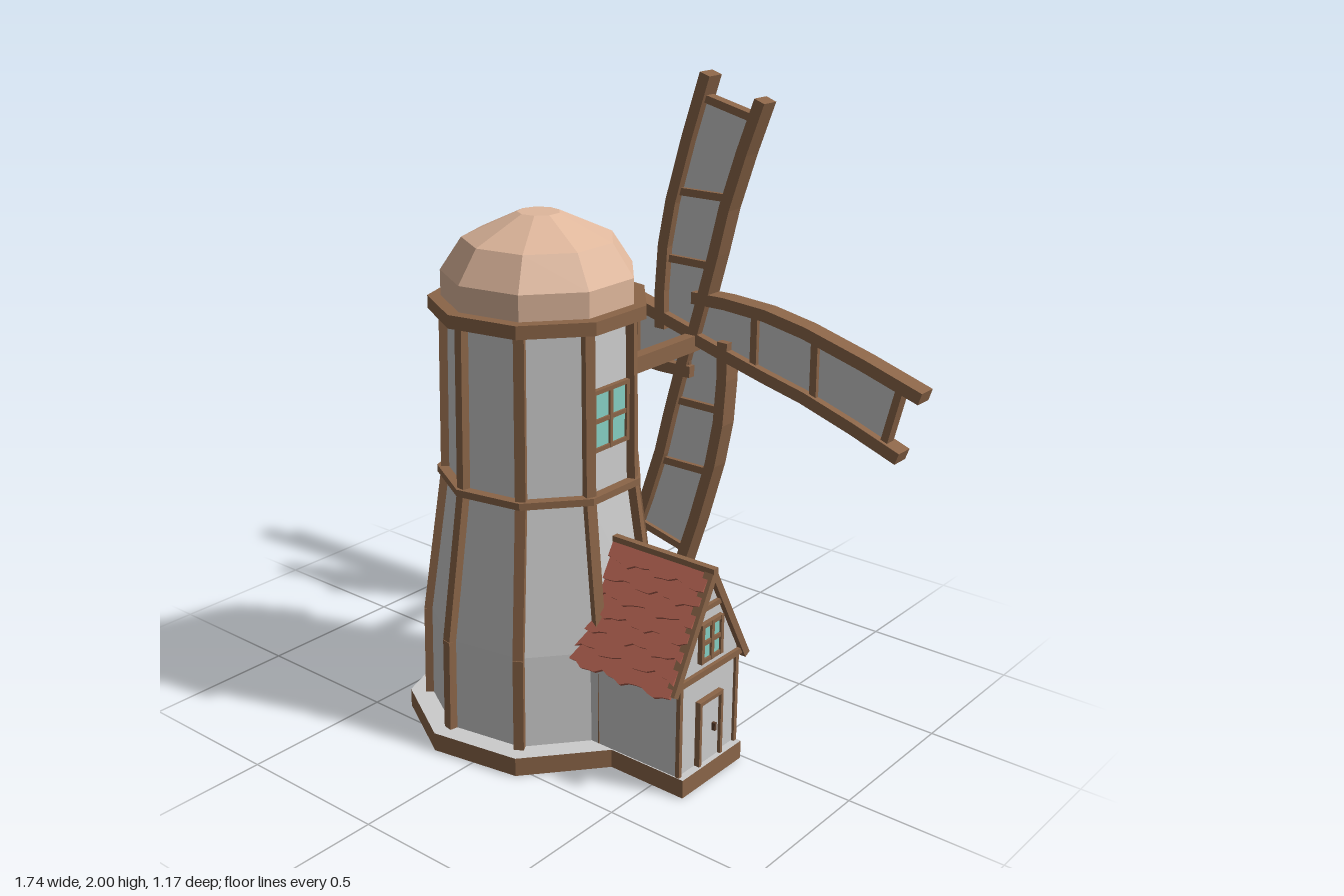
import * as THREE from 'three';

const mat = (color) => new THREE.MeshStandardMaterial({ color, flatShading: true, side: THREE.DoubleSide });
const grey = mat(0xcccccc), wood = mat(0x8b6548), dome = mat(0xdfb79c);
const red = mat(0xb0604f), glass = mat(0x86d0c4), dark = mat(0x5a3d2a);

const CX = -0.065, CZ = 0.16, SIDES = 9, STEP = (Math.PI * 2) / SIDES;
const FIRST = Math.PI / 9; // first corner of the nine-sided tower

function add(parent, name, geometry, material, x = 0, y = 0, z = 0) {
  const m = new THREE.Mesh(geometry, material);
  m.name = name;
  m.position.set(x, y, z);
  parent.add(m);
  return m;
}
const box = (parent, name, w, h, d, x, y, z, m = wood) =>
  add(parent, name, new THREE.BoxGeometry(w, h, d), m, x, y, z);

// Box laid between two points of the local XY plane
function beam(parent, name, a, b, width, depth, z = 0, m = wood) {
  const dx = b[0] - a[0], dy = b[1] - a[1];
  const o = box(parent, name, Math.hypot(dx, dy), width, depth, (a[0] + b[0]) / 2, (a[1] + b[1]) / 2, z, m);
  o.rotation.z = Math.atan2(dy, dx);
  return o;
}
const vec = (pts) => pts.map(([x, y]) => new THREE.Vector2(x, y));
const lathe = (pts) => new THREE.LatheGeometry(vec(pts), SIDES, Math.PI / 2 - FIRST);
const ring = (ri, ro, y0, y1) => lathe([[ri, y0], [ro, y0], [ro, y1], [ri, y1], [ri, y0]]);
const slab = (pts, depth) =>
  new THREE.ExtrudeGeometry(new THREE.Shape(pts), { depth, bevelEnabled: false });

// Framed window with four panes, facing local +z
function makeWindow(w, h) {
  const g = new THREE.Group();
  g.name = 'window';
  box(g, 'windowPanes', w, h, 0.012, 0, 0, 0, glass);
  for (const s of [-1, 0, 1]) {
    box(g, 'windowUpright', 0.013, h + 0.013, 0.028, s * w / 2, 0, 0);
    box(g, 'windowBar', w, 0.013, 0.026, 0, s * h / 2, 0);
  }
  g.rotation.y = Math.PI / 2;
  return g;
}

// Plinth: nine-sided slab joined to the annex floor
function makePlinth() {
  const pts = [];
  for (let i = 0; i < SIDES; i++) {
    const a = FIRST + i * STEP;
    pts.push(new THREE.Vector2(CX + 0.435 * Math.cos(a), -CZ + 0.435 * Math.sin(a)));
  }
  pts.push(new THREE.Vector2(0.615, -CZ - 0.149), new THREE.Vector2(0.615, -CZ + 0.149));
  const m = new THREE.Mesh(slab(pts, 0.06), [grey, wood]);
  m.name = 'plinth';
  m.rotation.x = -Math.PI / 2;
  return m;
}

function makeTower() {
  const g = new THREE.Group();
  g.name = 'tower';
  g.position.set(CX, 0, CZ);
  const profile = [[0.365, 0.05], [0.36, 0.36], [0.292, 0.84], [0.284, 1.37]];
  add(g, 'towerWall', lathe(profile), grey);
  // corner posts follow the wall profile
  for (let i = 0; i < SIDES; i++) {
    const post = new THREE.Group();
    post.name = 'cornerPost';
    post.rotation.y = FIRST + i * STEP;
    for (let j = 0; j < 3; j++) {
      const a = [profile[j][0] + 0.005, profile[j][1]], b = [profile[j + 1][0] + 0.005, profile[j + 1][1]];
      beam(post, 'postSection', a, b, 0.03, 0.032);
    }
    g.add(post);
  }
  add(g, 'middleBand', ring(0.27, 0.325, 0.828, 0.85), wood);
  add(g, 'topBand', ring(0.25, 0.338, 1.355, 1.396), wood);
  add(g, 'domeRoof', lathe([[0, 1.39], [0.298, 1.39], [0.298, 1.475], [0.232, 1.575], [0.065, 1.652], [0, 1.652]]), dome);
  const win = makeWindow(0.155, 0.18);
  win.position.set(0.272, 1.075, 0.005);
  g.add(win);
  return g;
}

// One roof slope made of overlapping courses with wavy lower edges
function makeSlope() {
  const slope = new THREE.Group();
  slope.name = 'roofSlope';
  const L = 0.385, rows = 7, step = L / rows, half = 0.19, n = 15;
  for (let j = 0; j < rows; j++) {
    const pts = [new THREE.Vector2(half, 0), new THREE.Vector2(-half, 0)];
    for (let i = 0; i <= n; i++) {
      const wave = 0.008 * Math.sin(i * 1.25 + j * 2.3) + 0.004 * Math.sin(i * 2.9 + j);
      pts.push(new THREE.Vector2(-half + (2 * half * i) / n, -step * 1.25 + wave));
    }
    const row = add(slope, 'tileCourse', slab(pts, 0.013), red, 0, -j * step, -0.012);
    row.rotation.x = -0.2;
  }
  slope.rotation.x = -Math.atan2(0.19, 0.35);
  slope.position.y = 0.685;
  return slope;
}

function makeAnnex() {
  const g = new THREE.Group();
  g.name = 'annex';
  g.position.set(0, 0, CZ);
  const wall = slab(vec([[-0.145, 0.05], [0.145, 0.05], [0.145, 0.388], [0, 0.655], [-0.145, 0.388]]), 0.49);
  add(g, 'annexWall', wall, grey, 0.1).rotation.y = Math.PI / 2;
  for (const turn of [0, Math.PI]) {
    const side = new THREE.Group();
    side.name = 'roofSide';
    side.position.x = 0.405;
    side.rotation.y = turn;
    side.add(makeSlope());
    g.add(side);
  }
  box(g, 'ridgeBeam', 0.38, 0.018, 0.022, 0.42, 0.686, 0);
  // timber of the gable end, drawn in a plane turned to face +x
  const gable = new THREE.Group();
  gable.name = 'gableFrame';
  gable.position.x = 0.592;
  gable.rotation.y = Math.PI / 2;
  for (const s of [-1, 1]) {
    beam(gable, 'bargeBoard', [0, 0.675], [s * 0.18, 0.345], 0.024, 0.032);
    beam(gable, 'annexCornerPost', [s * 0.14, 0.06], [s * 0.14, 0.37], 0.014, 0.014);
    box(gable, 'doorJamb', 0.011, 0.21, 0.025, s * 0.053, 0.165, 0.004);
  }
  beam(gable, 'gableTieBeam', [-0.16, 0.365], [0.16, 0.365], 0.02, 0.02);
  beam(gable, 'gableCollar', [-0.045, 0.575], [0.045, 0.575], 0.016, 0.02);
  box(gable, 'doorLintel', 0.117, 0.012, 0.025, 0, 0.27, 0.004);
  box(gable, 'door', 0.1, 0.21, 0.012, 0, 0.165, 0, grey);
  box(gable, 'doorHandle', 0.01, 0.025, 0.02, 0.02, 0.165, 0.008, dark);
  g.add(gable);
  const win = makeWindow(0.095, 0.115);
  win.position.set(0.592, 0.465, 0);
  g.add(win);
  return g;
}

// One sail: two bowed rails, four rungs and a thin panel
function makeSail() {
  const g = new THREE.Group();
  g.name = 'sail';
  const upper = new THREE.SplineCurve(vec([[0, 0.13], [0.24, 0.127], [0.5, 0.078], [0.865, -0.035]]));
  const lower = new THREE.SplineCurve(vec([[-0.02, 0], [0.24, -0.072], [0.5, -0.138], [0.8, -0.245]]));
  const ts = [0, 0.2, 0.4, 0.6, 0.8, 1];
  for (const curve of [upper, lower]) {
    const edge = (s) => ts.map((t) => {
      const p = curve.getPoint(t), d = curve.getTangent(t);
      return new THREE.Vector2(p.x - d.y * s, p.y + d.x * s);
    });
    add(g, 'sailRail', slab([...edge(-0.02), ...edge(0.02).reverse()], 0.066), wood, 0, 0, -0.033);
  }
  for (const t of [0.06, 0.34, 0.64, 0.91])
    beam(g, 'sailRung', lower.getPoint(t).toArray(), upper.getPoint(t).toArray(), 0.025, 0.04);
  const inner = ts.map((t) => 0.05 + 0.86 * t);
  const panel = [...inner.map((t) => lower.getPoint(t)), ...inner.map((t) => upper.getPoint(t)).reverse()];
  add(g, 'sailPanel', slab(panel, 0.01), grey, 0, 0, -0.005);
  return g;
}

export function createModel() {
  const model = new THREE.Group();
  model.name = 'windmill';
  model.add(makePlinth(), makeTower(), makeAnnex());
  box(model, 'axle', 0.042, 0.055, 0.5, 0, 1.1, -0.3);
  const sails = new THREE.Group();
  sails.name = 'sails';
  sails.position.set(0, 1.125, -0.55);
  for (let i = 0; i < 4; i++) {
    const sail = makeSail();
    sail.rotation.z = (i * Math.PI) / 2;
    sails.add(sail);
  }
  model.add(sails);
  return model;
}
